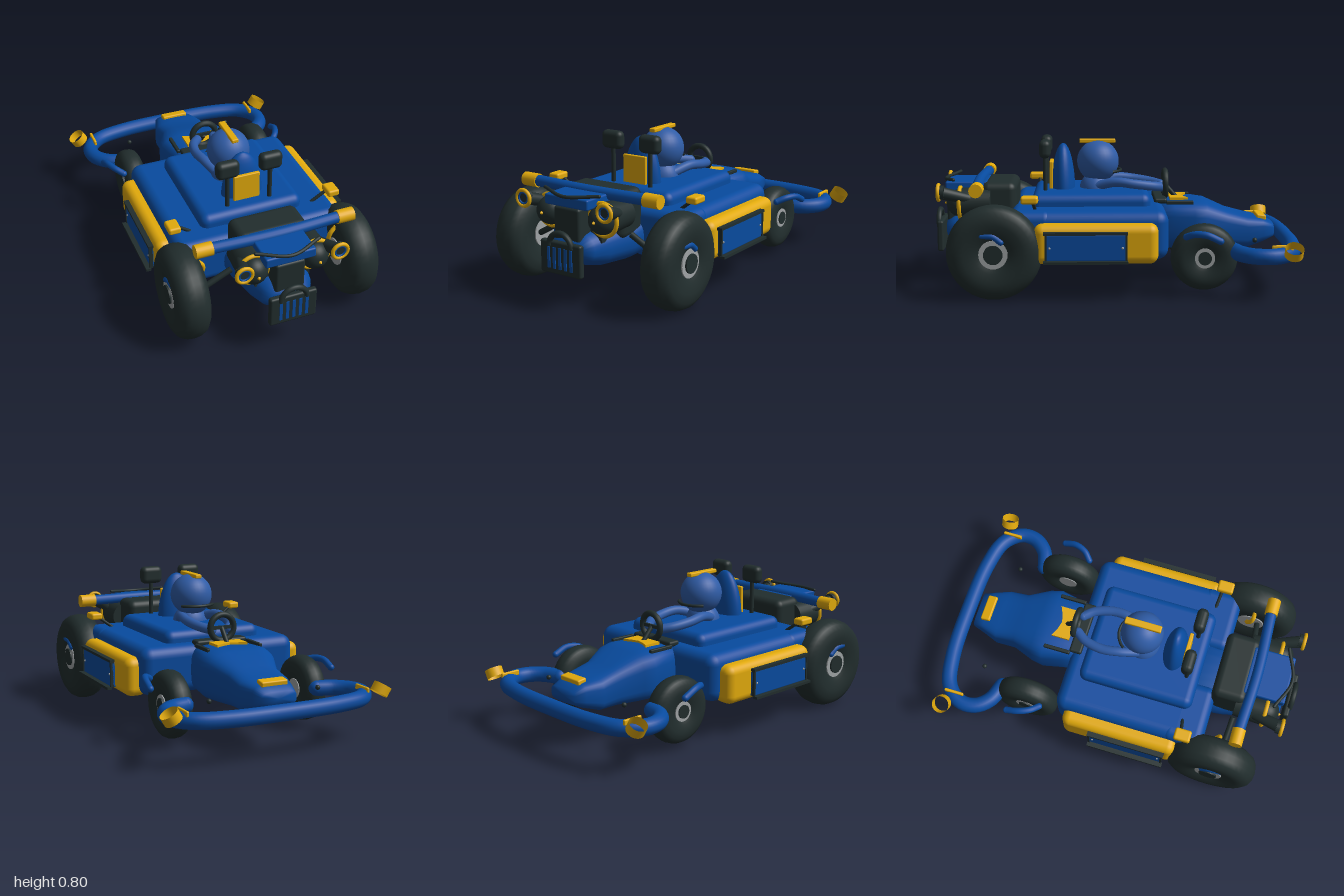
import * as THREE from 'three';
import { RoundedBoxGeometry } from 'three/addons/geometries/RoundedBoxGeometry.js';

const mat = (name, color, side = THREE.FrontSide) => {
  const m = new THREE.MeshStandardMaterial({ color, side });
  m.name = name;
  return m;
};

export function createModel() {
  const root = new THREE.Group();
  root.name = 'kart';
  const blue = mat('bodyBlue', 0x084b9f);
  const yellow = mat('trimYellow', 0xe2aa0c, THREE.DoubleSide);
  const dark = mat('rubberDark', 0x212d2d);
  const suit = mat('driverBlue', 0x2f5ca6);
  const metal = mat('hubMetal', 0xa0a4a6);

  // helpers
  const add = (name, geo, m, x = 0, y = 0, z = 0, parent = root) => {
    const mesh = new THREE.Mesh(geo, m);
    mesh.name = name;
    mesh.position.set(x, y, z);
    parent.add(mesh);
    return mesh;
  };
  const box = (name, m, x, y, z, w, h, d, r = 0) =>
    add(name, r ? new RoundedBoxGeometry(w, h, d, 4, r) : new THREE.BoxGeometry(w, h, d), m, x, y, z);
  const ball = (name, m, x, y, z, rx, ry = rx, rz = rx) => {
    const b = add(name, new THREE.SphereGeometry(1, 32, 20), m, x, y, z);
    b.scale.set(rx, ry, rz);
    return b;
  };
  const tube = (name, m, pts, r, n = 40) => {
    const curve = new THREE.CatmullRomCurve3(pts.map((p) => new THREE.Vector3(...p)));
    add(name, new THREE.TubeGeometry(curve, n, r, 14), m);
    for (const p of [pts[0], pts[pts.length - 1]]) ball(name + 'End', m, ...p, r);
  };
  const rod = (name, m, a, b, r, r2 = r) => {
    const A = new THREE.Vector3(...a), B = new THREE.Vector3(...b), d = B.clone().sub(A);
    const c = add(name, new THREE.CylinderGeometry(r2, r, d.length(), 24), m);
    c.position.copy(A).add(B).multiplyScalar(0.5);
    c.quaternion.setFromUnitVectors(new THREE.Vector3(0, 1, 0), d.normalize());
  };
  // hull skinned over rounded sections, z ascending: [z, half width, bottom, top]
  const loft = (name, m, sections, power = 0.55, n = 32) => {
    const pos = [], idx = [];
    const bend = (v) => Math.sign(v) * Math.abs(v) ** power;
    sections.forEach(([z, w, lo, hi]) => {
      for (let j = 0; j < n; j++) {
        const a = (j / n) * Math.PI * 2;
        pos.push(w * bend(Math.cos(a)), (lo + hi) / 2 + ((hi - lo) / 2) * bend(Math.sin(a)), z);
      }
    });
    const last = sections.length - 1;
    for (let i = 0; i < last; i++)
      for (let j = 0; j < n; j++) {
        const k = (j + 1) % n, a = i * n + j, b = i * n + k, c = a + n, d = b + n;
        idx.push(a, b, c, b, d, c);
      }
    for (const i of [0, last]) {
      const [z, , lo, hi] = sections[i], c = pos.length / 3;
      pos.push(0, (lo + hi) / 2, z);
      for (let j = 0; j < n; j++) {
        const a = i * n + j, b = i * n + ((j + 1) % n);
        idx.push(c, ...(i ? [a, b] : [b, a]));
      }
    }
    const g = new THREE.BufferGeometry();
    g.setAttribute('position', new THREE.Float32BufferAttribute(pos, 3));
    g.setIndex(idx);
    g.computeVertexNormals();
    add(name, g, m);
  };

  // bodywork
  box('mainBody', blue, 0, 0.33, 0.1, 0.92, 0.26, 0.74, 0.06);
  box('upperDeck', blue, 0, 0.46, 0.135, 0.57, 0.13, 0.64, 0.045);
  loft('nose', blue, [[-0.88, 0.1, 0.25, 0.325], [-0.82, 0.118, 0.22, 0.355], [-0.73, 0.15, 0.19, 0.372],
    [-0.62, 0.15, 0.19, 0.402], [-0.5, 0.2, 0.19, 0.455], [-0.43, 0.215, 0.19, 0.465],
    [-0.32, 0.19, 0.19, 0.465], [-0.2, 0.17, 0.2, 0.455]]);
  loft('tail', blue, [[0.4, 0.23, 0.2, 0.45], [0.62, 0.2, 0.18, 0.43], [0.78, 0.165, 0.19, 0.41],
    [0.88, 0.14, 0.22, 0.39], [0.93, 0.11, 0.26, 0.36]], 0.8);

  // nose and dash trim
  const badge = box('nosePlate', yellow, 0, 0.358, -0.812, 0.15, 0.03, 0.055, 0.008);
  badge.rotation.x = -0.15;
  const dash = new THREE.Shape([[-0.09, 0.05], [0.09, 0.05], [0.09, -0.05], [0.045, -0.03], [0, -0.018],
    [-0.045, -0.03], [-0.09, -0.05]].map((p) => new THREE.Vector2(...p)));
  const dashPlate = add('dashPlate', new THREE.ExtrudeGeometry(dash, { depth: 0.02, bevelEnabled: false }),
    yellow, 0, 0.476, -0.35);
  dashPlate.rotation.x = Math.PI / 2;
  box('dashPanel', dark, 0, 0.465, -0.245, 0.3, 0.03, 0.07, 0.012);

  // wheel about the x axis: rounded tyre, metal hub, dark cap on the outside
  const wheel = (name, s, x, y, z, R, w) => {
    const g = new THREE.Group();
    g.name = name;
    g.position.set(s * x, y, z);
    root.add(g);
    const half = [[0.28, 0.36], [0.4, 0.44], [0.62, 0.5], [0.8, 0.47], [0.92, 0.36], [0.98, 0.2]];
    const pts = [...half.map(([r, h]) => [r, -h]), [1, 0], ...half.map(([r, h]) => [r, h]).reverse()]
      .map(([r, h]) => new THREE.Vector2(r * R, h * w));
    const spin = (n, geo, m, dx = 0) => { add(n, geo, m, dx, 0, 0, g).rotation.z = Math.PI / 2; };
    spin('tyre', new THREE.LatheGeometry(pts, 40), dark);
    spin('hub', new THREE.CylinderGeometry(R * 0.3, R * 0.3, w * 0.82, 28), metal);
    spin('hubCap', new THREE.CylinderGeometry(R * 0.2, R * 0.2, w * 0.1, 20), dark, s * w * 0.41);
  };

  // parts found on both sides
  for (const s of [-1, 1]) {
    wheel('rearWheel', s, 0.468, 0.255, 0.64, 0.25, 0.18);
    wheel('frontWheel', s, 0.395, 0.21, -0.46, 0.178, 0.126);
    rod('rearStrut', dark, [s * 0.22, 0.36, 0.69], [s * 0.39, 0.265, 0.68], 0.016);
    box('rearLobe', blue, s * 0.286, 0.33, 0.45, 0.348, 0.26, 0.23, 0.05);
    box('dashStrip', dark, s * 0.155, 0.458, -0.35, 0.02, 0.02, 0.15, 0.005);

    // side pods with framed panel
    box('sidePod', yellow, s * 0.465, 0.3, 0.11, 0.13, 0.21, 0.645, 0.045);
    box('sidePanel', blue, s * 0.53, 0.29, 0.16, 0.04, 0.14, 0.42, 0.008);
    for (const [y, x] of [[0.365, 0.545], [0.217, 0.562]]) box('panelRail', dark, s * x, y, 0.165, 0.028, 0.014, 0.435);
    for (const z of [-0.045, 0.37]) {
      box('panelEdge', dark, s * 0.545, 0.29, z, 0.02, 0.14, 0.01);
      ball('panelBolt', metal, s * 0.55, 0.29, z + (z > 0 ? -0.02 : 0.02), 0.006);
    }

    // mirrors, lamps and fender bars
    box('mirror', dark, s * 0.12, 0.753, 0.385, 0.127, 0.098, 0.062, 0.028);
    rod('mirrorPost', dark, [s * 0.12, 0.5, 0.385], [s * 0.12, 0.72, 0.385], 0.012);
    box('sideLamp', yellow, s * 0.447, 0.525, 0.455, 0.066, 0.038, 0.09, 0.012);
    rod('lampArm', dark, [s * 0.42, 0.51, 0.44], [s * 0.34, 0.45, 0.43], 0.009);
    tube('frontFender', blue, [[s * 0.535, 0.32, -0.53], [s * 0.53, 0.35, -0.46], [s * 0.505, 0.35, -0.4],
      [s * 0.465, 0.33, -0.36]], 0.018);
    tube('rearFender', blue, [[s * 0.538, 0.32, 0.6], [s * 0.54, 0.35, 0.64], [s * 0.538, 0.355, 0.7]], 0.016);
    tube('rearSpring', yellow, [[s * 0.365, 0.32, 0.62], [s * 0.355, 0.36, 0.64], [s * 0.36, 0.4, 0.65],
      [s * 0.385, 0.43, 0.65]], 0.012);
    ball('frontStud', dark, s * 0.315, 0.28, -0.74, 0.013);

    // bumper lamps
    const ring = add('bumperRing', new THREE.CylinderGeometry(0.048, 0.048, 0.05, 28, 1, true), yellow, s * 0.595, 0.275, -0.9);
    ring.rotation.z = -s * 0.55;
    box('bumperStrip', yellow, s * 0.512, 0.278, -0.855, 0.016, 0.03, 0.11, 0.006);

    // rear turbines and exhausts
    rod('turbine', dark, [s * 0.165, 0.465, 0.68], [s * 0.165, 0.465, 0.845], 0.075, 0.083);
    add('turbineRing', new THREE.TorusGeometry(0.083, 0.011, 12, 36), yellow, s * 0.165, 0.465, 0.845);
    ball('turbineDome', dark, s * 0.165, 0.465, 0.845, 0.075);
    rod('turbineTip', yellow, [s * 0.165, 0.465, 0.905], [s * 0.165, 0.465, 0.93], 0.016, 0.003);
    rod('exhaust', dark, [s * 0.2, 0.48, 0.75], [s * 0.25, 0.53, 0.93], 0.026, 0.034);
    add('exhaustRing', new THREE.TorusGeometry(0.041, 0.01, 12, 28), yellow, s * 0.255, 0.535, 0.95);
    add('exhaustLiner', new THREE.TorusGeometry(0.029, 0.006, 10, 28), blue, s * 0.255, 0.535, 0.95);
    rod('exhaustMouth', dark, [s * 0.255, 0.535, 0.92], [s * 0.255, 0.535, 0.95], 0.038);
    rod('rearBarEnd', yellow, [s * 0.34, 0.568, 0.735], [s * 0.43, 0.568, 0.735], 0.036);

    // driver's arms
    tube('arm', suit, [[s * 0.07, 0.54, 0.1], [s * 0.105, 0.565, 0.0], [s * 0.115, 0.555, -0.1],
      [s * 0.09, 0.54, -0.2], [s * 0.05, 0.53, -0.255]], 0.026);
  }

  // front bumper
  const half = [[0.385, 0.24, -0.615], [0.48, 0.24, -0.65], [0.54, 0.24, -0.72], [0.545, 0.24, -0.81], [0.47, 0.24, -0.9],
    [0.3, 0.24, -0.945]];
  tube('frontBumper', blue, [...half.map(([x, y, z]) => [-x, y, z]), [0, 0.24, -0.957], ...half.reverse()], 0.043, 90);

  // engine and rear end
  box('engineCover', dark, 0, 0.45, 0.635, 0.38, 0.25, 0.19, 0.04);
  box('engineCore', dark, 0, 0.43, 0.78, 0.3, 0.18, 0.12);
  box('rearGrille', dark, 0, 0.43, 0.86, 0.16, 0.18, 0.14, 0.015);
  box('engineTop', blue, 0, 0.547, 0.815, 0.27, 0.055, 0.23, 0.01);
  tube('rearBar', blue, [[-0.36, 0.568, 0.735], [0, 0.568, 0.75], [0.36, 0.568, 0.735]], 0.03);
  tube('rearLip', dark, [[-0.17, 0.59, 0.88], [0, 0.577, 0.94], [0.17, 0.59, 0.88]], 0.009);
  box('rearPlate', dark, 0, 0.27, 0.965, 0.255, 0.17, 0.035, 0.012);
  for (let i = -2; i <= 2; i++) box('plateSlot', blue, i * 0.035, 0.27, 0.983, 0.016, 0.11, 0.008);
  add('plateArch', new THREE.TorusGeometry(0.07, 0.015, 12, 28, Math.PI), dark, 0, 0.33, 0.978);

  // seat
  ball('seatBack', blue, 0, 0.5, 0.29, 0.115, 0.27, 0.066);
  box('seatPlate', yellow, 0, 0.585, 0.355, 0.146, 0.18, 0.02, 0.005);

  // driver
  ball('torso', suit, 0, 0.51, 0.11, 0.1, 0.1, 0.09);
  ball('head', suit, 0, 0.67, 0.097, 0.116);
  box('headCrest', yellow, 0, 0.782, 0.1, 0.038, 0.022, 0.2, 0.006);
  const visor = add('visor', new THREE.TorusGeometry(0.12, 0.008, 10, 24, Math.PI * 0.6), dark, 0, 0.62, 0.09);
  visor.rotation.set(-Math.PI / 2, 0, Math.PI * 0.2);

  // steering
  add('steeringWheel', new THREE.TorusGeometry(0.07, 0.017, 12, 32), dark, 0, 0.543, -0.277);
  box('steeringSpoke', dark, 0, 0.543, -0.277, 0.14, 0.018, 0.014);
  rod('steeringColumn', dark, [0, 0.54, -0.275], [0, 0.44, -0.36], 0.013);

  return root;
}
